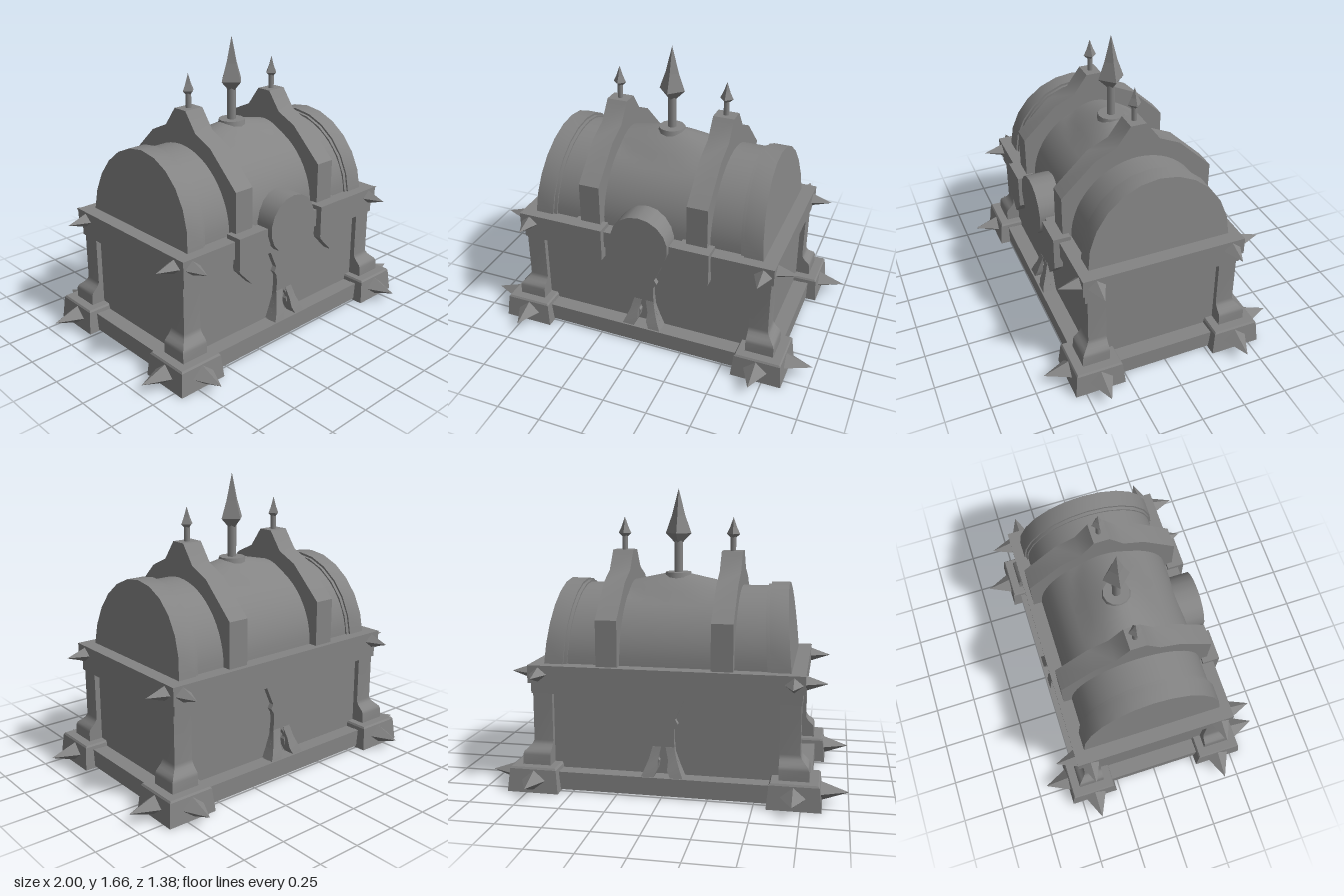
import * as THREE from 'three';
import { toCreasedNormals } from 'three/addons/utils/BufferGeometryUtils.js';

const V = (x, y) => new THREE.Vector2(x, y);

export function createModel() {
  const model = new THREE.Group();
  const iron = 0x848484;
  const flat = new THREE.MeshStandardMaterial({ color: iron, flatShading: true });
  const smooth = new THREE.MeshStandardMaterial({ color: iron });

  const add = (name, geo, x = 0, y = 0, z = 0, mat = flat, parent = model) => {
    const mesh = new THREE.Mesh(geo, mat);
    mesh.name = name;
    mesh.position.set(x, y, z);
    parent.add(mesh);
    return mesh;
  };
  // Box given by half-extents and a vertical range
  const slab = (name, hx, hz, y0, y1, x = 0, z = 0) =>
    add(name, new THREE.BoxGeometry(hx * 2, y1 - y0, hz * 2), x, (y0 + y1) / 2, z);
  // Move every vertex by a rule
  const warp = (geo, rule) => {
    const p = geo.attributes.position;
    const v = new THREE.Vector3();
    for (let i = 0; i < p.count; i++) {
      rule(v.fromBufferAttribute(p, i));
      p.setXYZ(i, v.x, v.y, v.z);
    }
    geo.computeVertexNormals();
    return geo;
  };
  const extrude = (pts, depth) =>
    new THREE.ExtrudeGeometry(new THREE.Shape(pts), { depth, bevelEnabled: false });

  // Four-sided spike pointing along +z, then turned about y
  const spike = (name, w, h, len, x, y, z, turn) => {
    const geo = new THREE.ConeGeometry(1, 1, 4).translate(0, 0.5, 0)
      .scale(w, len, h).rotateX(Math.PI / 2);
    add(name, geo, x, y, z).rotation.y = turn;
  };

  // Chest body, floor and plinth bars running between the feet
  slab('bodyPanels', 0.71, 0.41, 0.1, 0.56);
  slab('floor', 0.78, 0.48, 0.09, 0.108);
  for (const s of [-1, 1]) {
    slab('plinthBarLong', 0.59, 0.0175, 0.01, 0.11, 0, s * 0.4825);
    slab('plinthBarShort', 0.0175, 0.29, 0.01, 0.11, s * 0.7825, 0);
  }

  // Rim of the lid
  slab('lowerRim', 0.745, 0.455, 0.54, 0.6);
  slab('upperRim', 0.76, 0.47, 0.6, 0.7);

  // Corners: hollow foot, flared post, foot spikes and rim spikes
  const footProfile = [V(0, 0.08), V(0.11, 0.08), V(0.125, 0), V(0.145, 0),
    V(0.132, 0.13), V(0.125, 0.14), V(0, 0.14)].map(p => V(p.x * Math.SQRT2, p.y));
  const levels = [0.13, 0.195, 0.213, 0.23, 0.247, 0.268, 0.55];
  const flare = [0.052, 0.05, 0.044, 0.026, 0.01, 0, 0];
  const steps = levels.length - 1;
  for (const sx of [-1, 1]) for (const sz of [-1, 1]) {
    add('foot', new THREE.LatheGeometry(footProfile, 4, Math.PI / 4), sx * 0.715, 0, sz * 0.415);
    const post = warp(new THREE.BoxGeometry(1, steps, 1, 1, steps, 1), v => {
      const i = Math.round(v.y + steps / 2);
      v.y = levels[i];
      v.x = v.x * sx > 0 ? sx * (0.74 + flare[i]) : sx * 0.63;
      v.z = v.z * sz > 0 ? sz * (0.44 + flare[i]) : sz * 0.335;
    });
    add('cornerPost', post, 0, 0, 0, smooth);
    const turnX = sx * Math.PI / 2, turnZ = sz > 0 ? 0 : Math.PI;
    spike('footSpike', 0.07, 0.055, 0.153, sx * 0.847, 0.07, sz * 0.41, turnX);
    spike('footSpike', 0.07, 0.055, 0.145, sx * 0.71, 0.07, sz * 0.547, turnZ);
    spike('rimSpike', 0.052, 0.042, 0.12, sx * 0.755, 0.65, sz * 0.395, turnX);
    spike('rimSpike', 0.052, 0.042, 0.12, sx * 0.7, 0.65, sz * 0.465, turnZ);
  }

  // Half-round arch along x whose ends lean inward toward the top
  const arch = (name, x0, x1, ry, rz, sides, cuts, rise = 0) => {
    const geo = new THREE.CylinderGeometry(1, 1, 1, sides, cuts, false, 0, Math.PI)
      .rotateZ(Math.PI / 2);
    add(name, warp(geo, v => {
      v.x = x0 + (x1 - x0) * (v.x + 0.5);
      v.y *= ry;
      v.z *= rz;
      v.x *= 1 - 0.134 * v.y;
      // Barrel swells up to the central collar
      const d = Math.hypot(v.x, v.z * 1.7);
      if (v.y > 0.1) v.y += rise * Math.min(1, Math.max(0, (0.36 - d) / 0.3));
    }), 0, 0.7, 0, smooth);
  };
  arch('lidBarrel', -0.62, 0.62, 0.415, 0.39, 28, 30, 0.065);
  for (const s of [-1, 1]) {
    const band = (name, a, b, ry, rz) =>
      arch(name, Math.min(s * a, s * b), Math.max(s * a, s * b), ry, rz, 12, 1);
    band('lidEndBand', 0.575, 0.682, 0.44, 0.41);
    band('lidInnerBand', 0.555, 0.6, 0.427, 0.4);
  }

  // Raised straps over the lid, each with a clasp and a small finial
  const half = [V(0.44, 0.69), V(0.44, 0.957), V(0.245, 1.145), V(0.125, 1.2), V(0.045, 1.31)];
  const strapPts = [...half, ...half.map(p => V(-p.x, p.y)).reverse()];
  const finial = (name, x, base, tip, rod, wide, neck) => {
    const len = tip - neck;
    add(name + 'Rod', new THREE.CylinderGeometry(rod, rod, neck + 0.02 - base, 8),
      x, (base + neck + 0.02) / 2, 0, smooth);
    add(name + 'Head', new THREE.LatheGeometry([V(0, neck), V(rod, neck),
      V(wide, neck + len * 0.17), V(wide * 0.52, neck + len * 0.5), V(0, tip)], 4), x);
  };
  for (const s of [-1, 1]) {
    const x = s * 0.317;
    const strap = extrude(strapPts, 0.12).translate(0, 0, -0.06).rotateY(Math.PI / 2);
    add('lidStrap', toCreasedNormals(strap, 0.75), x, 0, 0, smooth);
    slab('strapClasp', 0.092, 0.05, 0.54, 0.725, x, 0.455);
    add('claspTongue', extrude([V(-0.09, 0.55), V(-0.09, 0.53), V(0, 0.435),
      V(0.09, 0.53), V(0.09, 0.55)], 0.05), x, 0, 0.455);
    finial('smallFinial', x, 1.3, 1.5, 0.016, 0.038, 1.385);
  }

  // Central collar and tall finial
  add('finialCollar', new THREE.CylinderGeometry(0.075, 0.085, 0.05, 12), 0, 1.16, 0, smooth);
  finial('tallFinial', 0, 1.17, 1.66, 0.025, 0.075, 1.355);

  // Round lock plate on the front
  add('lockPlate', new THREE.CylinderGeometry(0.17, 0.17, 0.14, 18).rotateX(Math.PI / 2),
    0, 0.69, 0.43, smooth);

  // Waisted ornament with a pointed opening and curved toes, front and back
  const side = [V(0.05, 0.11), V(0.115, 0.11), V(0.09, 0.17), V(0.065, 0.24), V(0.058, 0.31),
    V(0.06, 0.37), V(0.08, 0.4), V(0.065, 0.425), V(0.09, 0.48), V(0.12, 0.55)];
  const opening = [V(0, 0.26), V(0.035, 0.21), V(0.022, 0.19), V(0.028, 0.15)];
  const mirror = pts => pts.map(p => V(-p.x, p.y));
  const outline = [...opening, ...side, ...mirror(side).reverse(),
    ...mirror(opening.slice(1)).reverse()];
  for (const turn of [0, Math.PI]) {
    const ornament = new THREE.Group();
    ornament.name = 'panelOrnament';
    ornament.rotation.y = turn;
    model.add(ornament);
    add('waistedPlate', extrude(outline, 0.04), 0, 0, 0.4, flat, ornament);
    for (const s of [-1, 1]) {
      const toe = warp(new THREE.BoxGeometry(1, 3, 1, 1, 3, 1), v => {
        const i = Math.round(v.y + 1.5);
        v.y = [0.1, 0.15, 0.2, 0.27][i];
        v.x = s * (v.x * s > 0 ? [0.12, 0.098, 0.078, 0.06][i] : [0.05, 0.028, 0.03, 0.012][i]);
        v.z = v.z > 0 ? [0.494, 0.48, 0.46, 0.441][i] : 0.42;
      });
      add('ornamentToe', toe, 0, 0, 0, smooth, ornament);
    }
  }

  return model;
}
